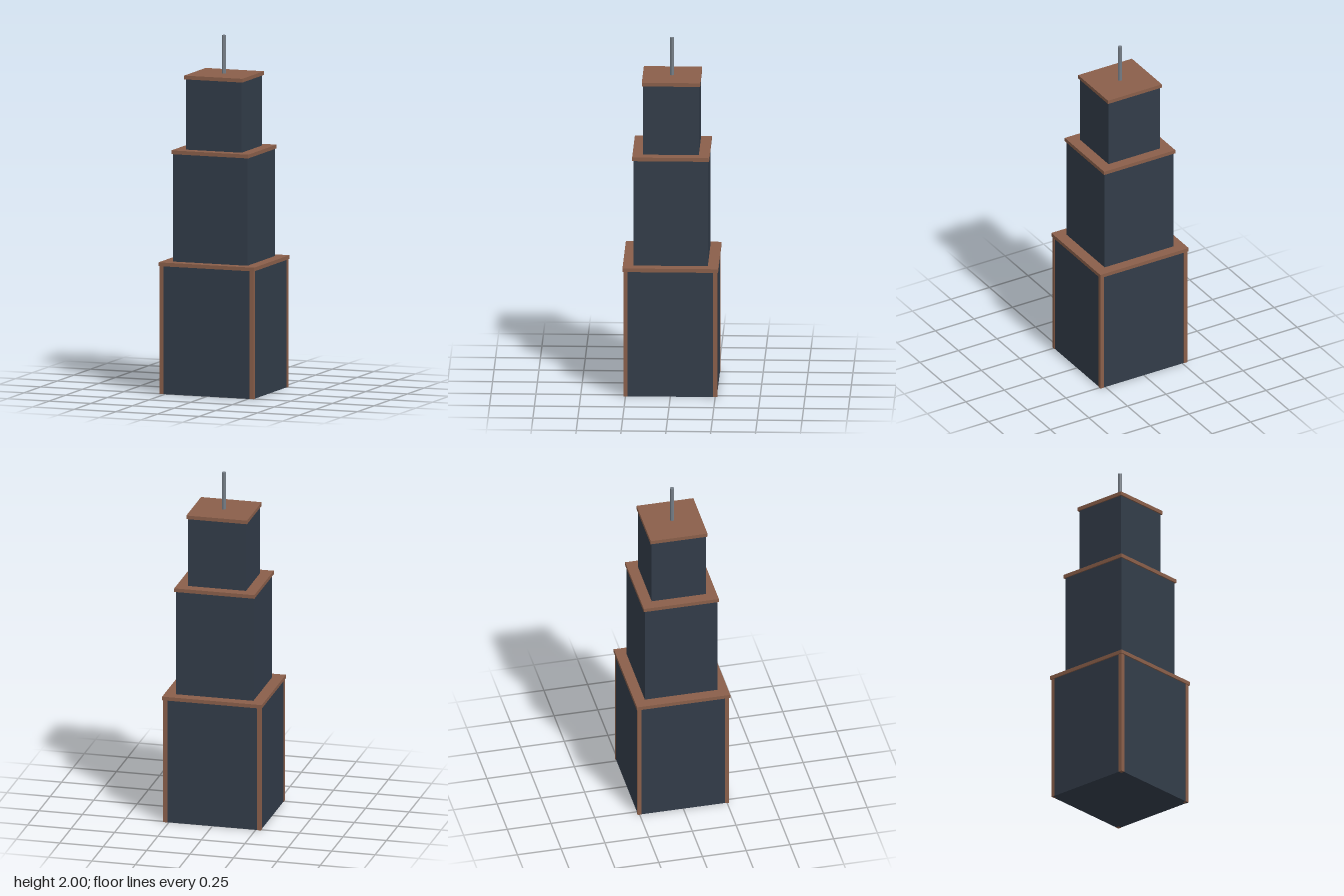
import * as THREE from 'three';

export function createModel() {
  const group = new THREE.Group();
  const wall = new THREE.MeshStandardMaterial({ color: 0x323c49 });
  const trim = new THREE.MeshStandardMaterial({ color: 0x8a5f4a });
  const metal = new THREE.MeshStandardMaterial({ color: 0x757d86, flatShading: true });

  const add = (name, geometry, material, x, y, z) => {
    const mesh = new THREE.Mesh(geometry, material);
    mesh.name = name;
    mesh.position.set(x, y, z);
    group.add(mesh);
  };
  // box given by half width, half depth, bottom and top
  const block = (name, hx, hz, y0, y1, material, x = 0, z = 0) =>
    add(name, new THREE.BoxGeometry(2 * hx, y1 - y0, 2 * hz), material, x, (y0 + y1) / 2, z);

  // stepped tiers, each capped by an overhanging cornice
  const tiers = [
    { name: 'lower', hx: 0.279, hz: 0.259, y0: 0, y1: 0.72 },
    { name: 'middle', hx: 0.223, hz: 0.207, y0: 0.741, y1: 1.346 },
    { name: 'upper', hx: 0.167, hz: 0.155, y0: 1.367, y1: 1.763 },
  ];
  const overhang = 0.0075, corniceHeight = 0.021;
  for (const { name, hx, hz, y0, y1 } of tiers) {
    block(name + 'Tier', hx, hz, y0, y1, wall);
    block(name + 'Cornice', hx + overhang, hz + overhang, y1, y1 + corniceHeight, trim);
  }

  // corner pilasters on the lower tier, slightly proud of its walls
  const half = 0.0115;
  for (const sx of [-1, 1])
    for (const sz of [-1, 1])
      block('cornerPilaster', half, half, 0, 0.72, trim, sx * 0.27, sz * 0.25);

  // roof mast
  add('mast', new THREE.CylinderGeometry(0.0122, 0.0122, 0.216, 8), metal, 0, 1.892, 0);

  return group;
}
